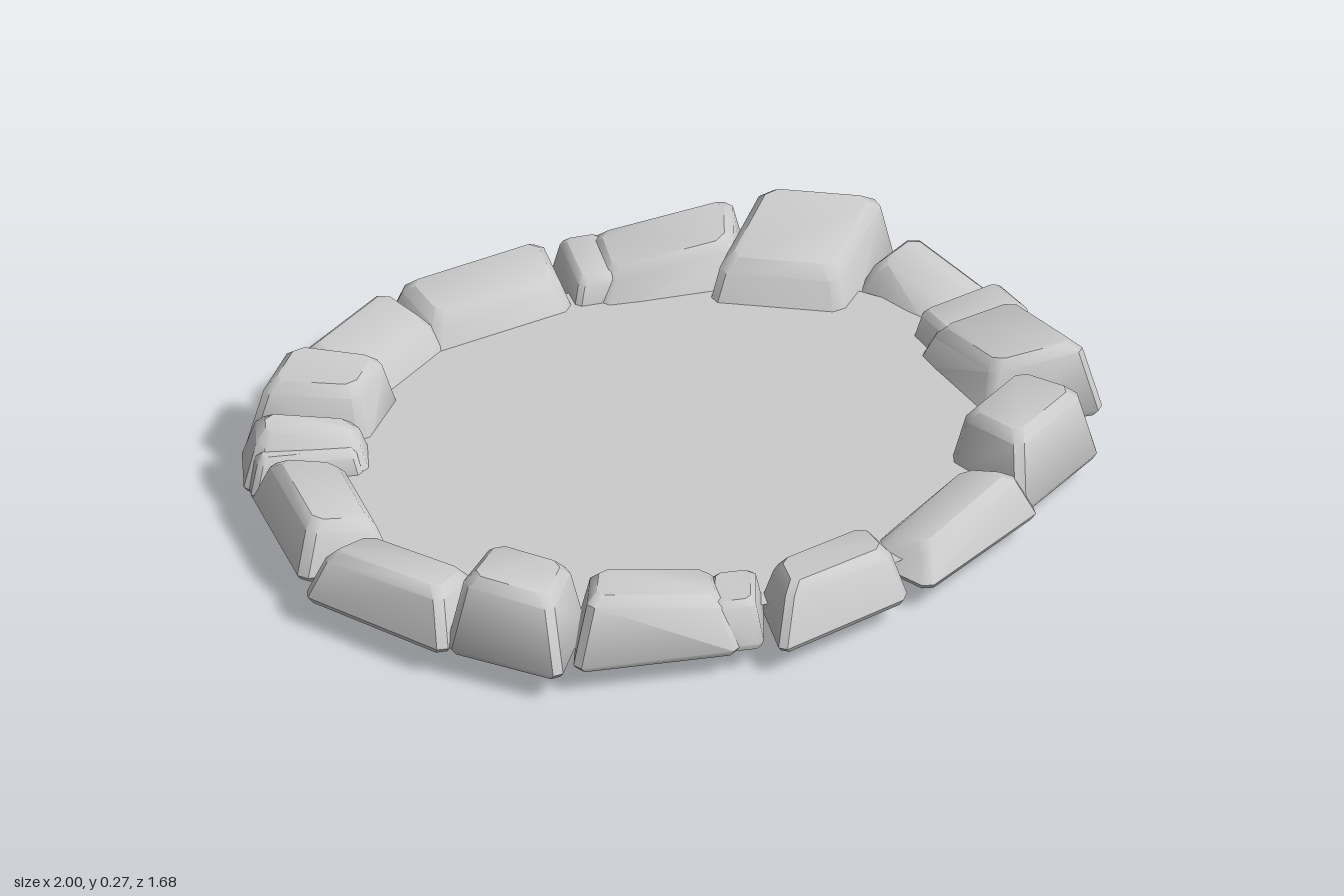
import * as THREE from 'three';
import { ConvexGeometry } from 'three/addons/geometries/ConvexGeometry.js';
import { toCreasedNormals } from 'three/addons/utils/BufferGeometryUtils.js';

const { lerp, degToRad } = THREE.MathUtils;

// Ring of stones: centre x, centre z, heading in degrees, length, depth, skew,
// start height, end height, drop of the top towards the middle of the ring
const STONES = [
  [-0.16, -0.705, -6, 0.45, 0.23, 0.02, 0.21, 0.21, 0.03],
  [0.285, -0.68, 9, 0.41, 0.23, 0.03, 0.2, 0.255, 0.03],
  [0.81, -0.35, 68, 0.34, 0.21, 0.02, 0.21, 0.15, 0.03],
  [0.837, 0.02, 82, 0.38, 0.28, 0.05, 0.2, 0.26, 0.02],
  [0.735, 0.335, 148, 0.33, 0.25, 0.03, 0.26, 0.26, 0.02],
  [0.455, 0.548, 152, 0.42, 0.21, -0.02, 0.21, 0.16, 0.04],
  [0.1, 0.685, 166, 0.38, 0.21, 0.07, 0.21, 0.22, 0.02],
  [-0.325, 0.648, 192, 0.4, 0.23, 0.035, 0.2, 0.255, 0.02],
  [-0.615, 0.53, 229, 0.3, 0.25, -0.03, 0.26, 0.27, 0.01],
  [-0.813, 0.297, 240, 0.41, 0.22, 0, 0.22, 0.2, 0.03],
  [-0.855, -0.045, 276, 0.38, 0.23, 0.03, 0.21, 0.21, 0.03],
  [-0.785, -0.3, 292, 0.18, 0.3, 0, 0.2, 0.22, 0.02],
  [-0.678, -0.45, 315, 0.25, 0.28, -0.07, 0.24, 0.255, 0.01],
  [-0.49, -0.605, 329, 0.39, 0.23, 0, 0.22, 0.215, 0.04],
];

// Low stepped ends leaning against the larger stones
const SMALL_STONES = [
  [0.11, -0.715, 8, 0.14, 0.21, 0, 0.19, 0.19, 0.02],
  [0.83, -0.15, 83, 0.18, 0.25, 0, 0.19, 0.2, 0.01],
  [-0.15, 0.695, 192, 0.15, 0.18, 0.04, 0.19, 0.19, 0],
  [-0.81, -0.25, 285, 0.09, 0.27, 0, 0.165, 0.17, 0],
];

// The one large stone that reaches the ground
const FOOT_STONE = [0.57, -0.555, 32, 0.35, 0.35, 0.08, 0.265, 0.265, 0.06];

// Cuts each corner of a ring into two points
function cutCorners(ring, size) {
  return ring.flatMap((corner, i) => [ring.at(i - 1), ring[(i + 1) % ring.length]].map(next =>
    corner.clone().lerp(next, Math.min(size / corner.distanceTo(next), 0.3))));
}

// Tapered block with bevelled rim and corners; s runs along its length, v points out of the ring
function stoneGeometry([cx, cz, heading, length, depth, skew, startHeight, endHeight, drop], base, innerRatio, bevel) {
  const angle = degToRad(heading), cos = Math.cos(angle), sin = Math.sin(angle);
  const points = [];
  const addRing = (inset, heightAt) => {
    const corner = (end, side) => {
      const v = side * (depth / 2 - bevel * inset);
      const t = v / depth + 0.5;
      const s = end * (length / 2 * lerp(innerRatio, 1, t) - bevel * inset) + skew * (t - 0.5);
      const y = heightAt(lerp(startHeight, endHeight, s / length + 0.5) - drop * (1 - t));
      return new THREE.Vector3(cx + cos * s + sin * v, y, cz + sin * s - cos * v);
    };
    points.push(...cutCorners([corner(-1, 1), corner(1, 1), corner(1, -1), corner(-1, -1)], 0.02 * bevel));
  };
  addRing(0.008, () => base);
  addRing(0, () => base + 0.015);
  addRing(0.03, h => h - 0.025 * bevel);
  addRing(0.052, h => h);
  return toCreasedNormals(new ConvexGeometry(points), 0.7);
}

export function createModel() {
  const group = new THREE.Group();
  const material = new THREE.MeshStandardMaterial({ color: 0xcccccc });
  const add = (name, geometry, mat = material) => {
    const mesh = new THREE.Mesh(geometry, mat);
    mesh.name = name;
    group.add(mesh);
    return mesh;
  };

  STONES.forEach((stone, i) => add(`rimStone${i + 1}`, stoneGeometry(stone, 0.063, 0.87, 1)));
  SMALL_STONES.forEach((stone, i) => add(`smallStone${i + 1}`, stoneGeometry(stone, 0.065, 0.95, 0.6)));
  add('footStone', stoneGeometry(FOOT_STONE, 0, 1, 1.1));

  // Flat floor inside the ring of stones, raised above their undersides
  const floorMaterial = material.clone();
  floorMaterial.side = THREE.DoubleSide;
  const floor = add('floor', new THREE.CircleGeometry(1, 48).rotateX(-Math.PI / 2), floorMaterial);
  floor.scale.set(0.84, 1, 0.69);
  floor.position.y = 0.11;

  return group;
}
